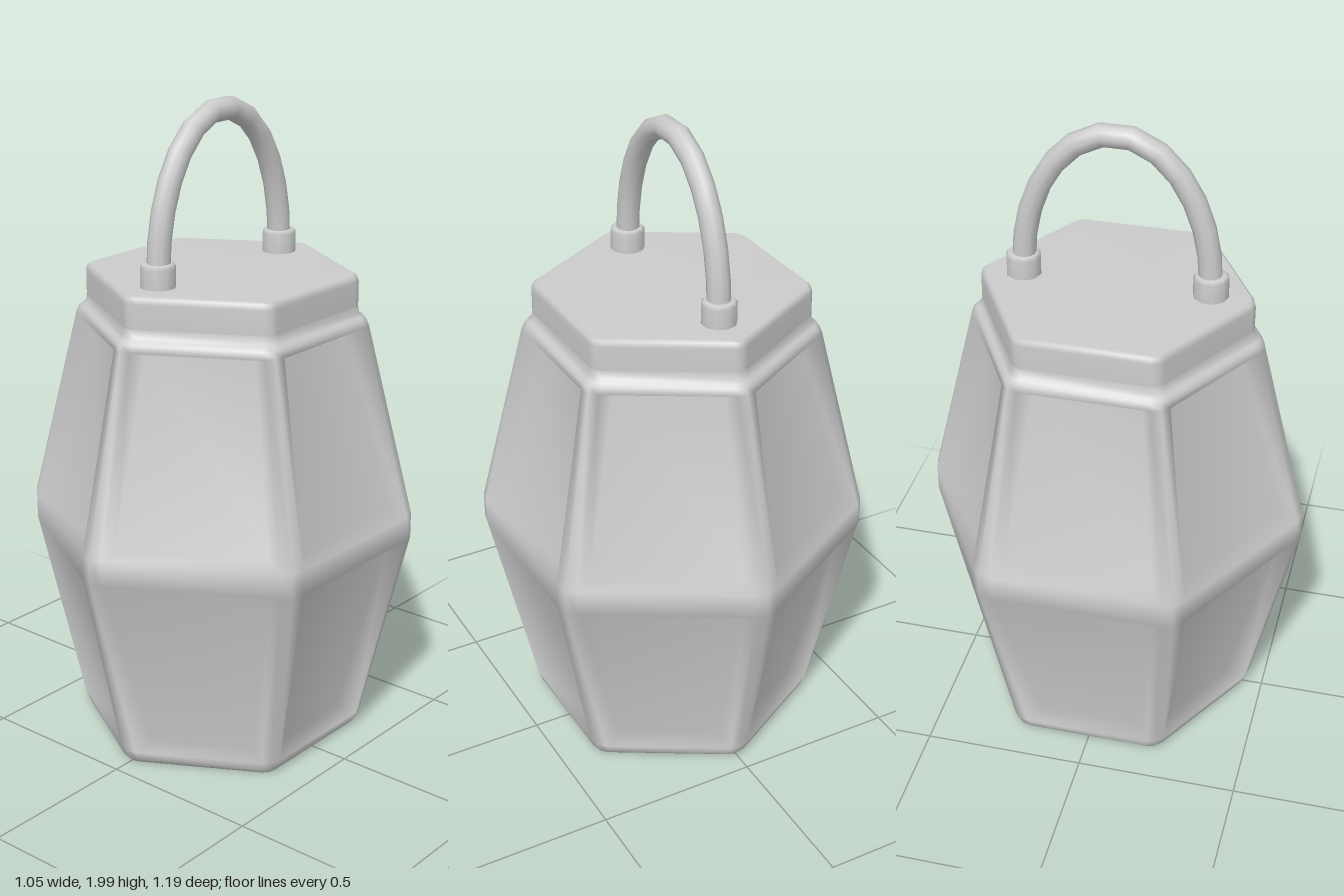
import * as THREE from 'three';

const material = new THREE.MeshStandardMaterial({ color: 0xcccccc });

// Point on hexagon face k: apothem a, sideways offset w, height y
function facePoint(k, a, w, y) {
  const t = (k * Math.PI) / 3;
  return [Math.cos(t) * a - Math.sin(t) * w, y, Math.sin(t) * a + Math.cos(t) * w];
}

// Rounded corner point after face k, between the trimmed and the sharp corner
function cornerPoint(k, a, w, y) {
  const t = ((k + 0.5) * Math.PI) / 3;
  const c = Math.cos(Math.PI / 6);
  const r = (a * c + w / 2 + a / c) / 2;
  return [Math.cos(t) * r, y, Math.sin(t) * r];
}

// Small indexed mesh builder with shared vertices, for soft bevels
class Surface {
  constructor() {
    this.positions = [];
    this.index = [];
  }
  point(p) {
    this.positions.push(...p);
    return this.positions.length / 3 - 1;
  }
  quad(a, b, c, d) {
    this.index.push(a, b, c, a, c, d);
  }
  // Hexagon with rounded corners: two face points and one corner point per side
  ring([y, a, w]) {
    const ids = [];
    for (let k = 0; k < 6; k++) {
      ids.push(this.point(facePoint(k, a, -w, y)), this.point(facePoint(k, a, w, y)),
        this.point(cornerPoint(k, a, w, y)));
    }
    return ids;
  }
  // Wall between two rings; open bands keep only the corner bars
  band(low, high, barsOnly = false) {
    low.forEach((p, i) => {
      if (barsOnly && i % 3 === 0) return;
      const j = (i + 1) % low.length;
      this.quad(p, high[i], high[j], low[j]);
    });
  }
  lid(ring, y, up) {
    const c = this.point([0, y, 0]);
    ring.forEach((p, i) => {
      const q = ring[(i + 1) % ring.length];
      this.index.push(c, up ? q : p, up ? p : q);
    });
  }
  mesh(name) {
    const g = new THREE.BufferGeometry();
    g.setAttribute('position', new THREE.Float32BufferAttribute(this.positions, 3));
    g.setIndex(this.index);
    g.computeVertexNormals();
    const m = new THREE.Mesh(g, material);
    m.name = name;
    return m;
  }
}

// Framed body with recessed panels above and below the belt
function makeBody() {
  const s = new Surface();
  // y, apothem, half width of the face
  const profile = [
    [0, 0.375, 0.19], [0.015, 0.389, 0.19], [0.045, 0.399, 0.197],
    [0.655, 0.525, 0.26], [0.735, 0.525, 0.26],
    [1.33, 0.397, 0.195], [1.35, 0.39, 0.19], [1.36, 0.38, 0.19], [1.368, 0.368, 0.187],
    [1.39, 0.365, 0.186],
  ];
  const rings = profile.map((p) => s.ring(p));
  const depth = 0.048;
  const inset = 0.035;
  for (let i = 0; i < rings.length - 1; i++) {
    const open = i === 2 || i === 4;
    s.band(rings[i], rings[i + 1], open);
    if (!open) continue;
    const [y0, a0, w0] = profile[i];
    const [y1, a1, w1] = profile[i + 1];
    for (let k = 0; k < 6; k++) {
      const m = 3 * k;
      const rim = [rings[i][m], rings[i + 1][m], rings[i + 1][m + 1], rings[i][m + 1]];
      const low = [a0 - depth, w0 - inset, y0 + 0.02];
      const high = [a1 - depth, w1 - inset, y1 - 0.02];
      const inner = [[low, -1], [high, -1], [high, 1], [low, 1]].map(
        ([[a, w, y], side]) => s.point(facePoint(k, a, side * w, y)));
      // Sloping walls, then the panel itself
      for (let e = 0; e < 4; e++) {
        const f = (e + 1) % 4;
        s.quad(rim[e], rim[f], inner[f], inner[e]);
      }
      s.quad(...inner);
    }
  }
  s.lid(rings[0], 0, false);
  return s.mesh('body');
}

// Raised hexagonal cap
function makeCap() {
  const s = new Surface();
  const rings = [
    [1.39, 0.365, 0.186], [1.465, 0.365, 0.186], [1.48, 0.361, 0.184], [1.487, 0.352, 0.18],
  ].map((p) => s.ring(p));
  for (let i = 0; i < rings.length - 1; i++) s.band(rings[i], rings[i + 1]);
  s.lid(rings[rings.length - 1], 1.487, true);
  return s.mesh('cap');
}

export function createModel() {
  const group = new THREE.Group();
  group.name = 'lantern';
  group.add(makeBody(), makeCap());

  // Arched carrying handle
  const arch = [];
  for (let i = 0; i <= 16; i++) {
    const t = (i / 16) * Math.PI;
    arch.push(new THREE.Vector3(0, 1.53 + 0.437 * Math.sin(t), 0.28 * Math.cos(t)));
  }
  const handle = new THREE.Mesh(
    new THREE.TubeGeometry(new THREE.CatmullRomCurve3(arch), 13, 0.035, 10), material);
  handle.name = 'handle';
  group.add(handle);

  // Sockets holding the handle ends
  const socketProfile = [[0.053, 0], [0.053, 0.062], [0.046, 0.072], [0.03, 0.072]]
    .map(([r, y]) => new THREE.Vector2(r, y));
  for (const side of [-1, 1]) {
    const socket = new THREE.Mesh(new THREE.LatheGeometry(socketProfile, 10), material);
    socket.name = side > 0 ? 'frontSocket' : 'backSocket';
    socket.position.set(0, 1.485, side * 0.282);
    group.add(socket);
  }
  return group;
}
